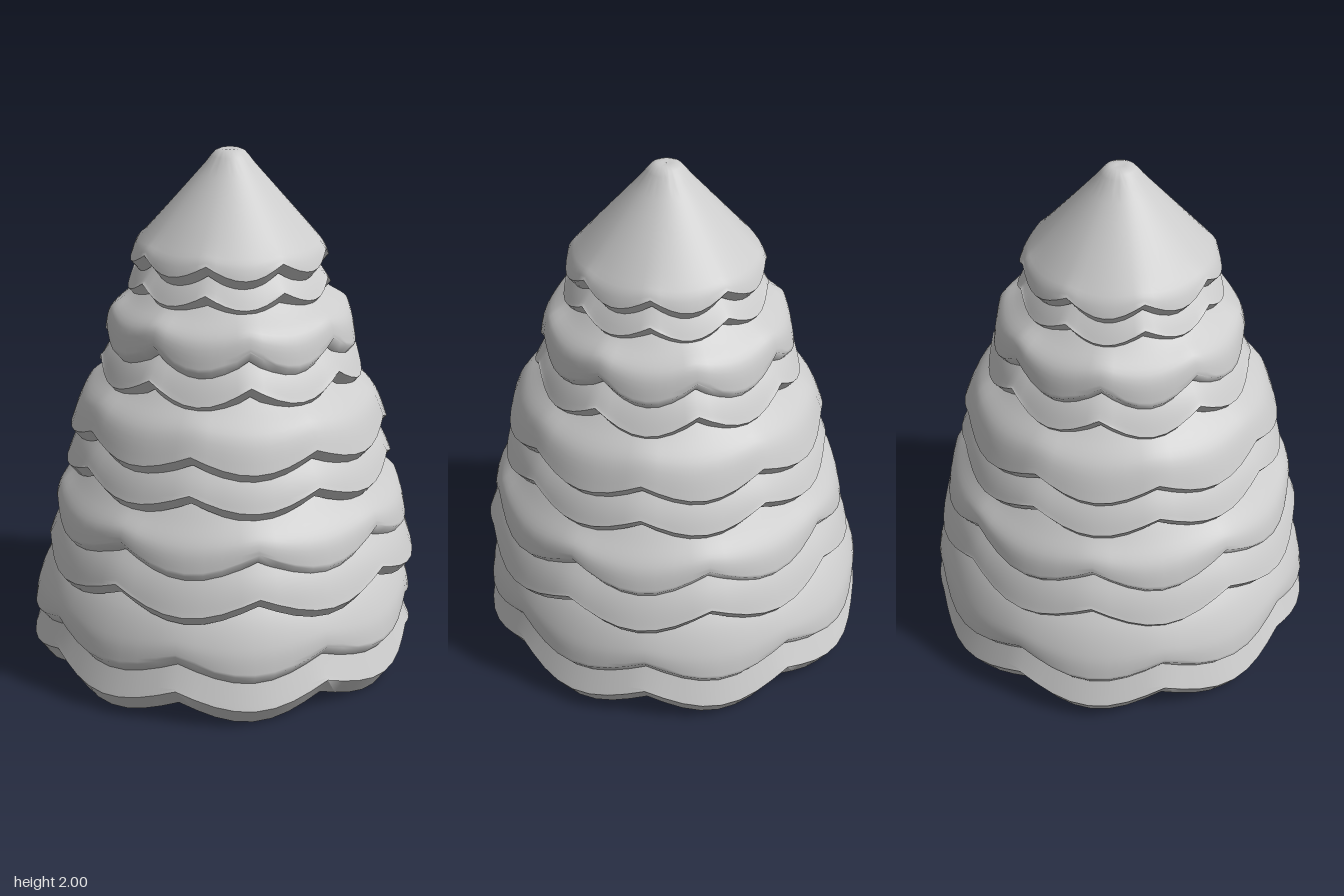
import * as THREE from 'three';
import { toCreasedNormals } from 'three/addons/utils/BufferGeometryUtils.js';

const LOBES = 8, SEGMENTS = 64, STEPS = 16;
const material = new THREE.MeshStandardMaterial({ color: 0xcccccc, side: THREE.DoubleSide });

// Outer profile of each skirt from its top to its rim, wave height, and whether
// a notch (instead of a lobe) faces the front.
const TIERS = [
  { profile: [[0.001, 2], [0.05, 1.998], [0.1, 1.94], [0.21, 1.815], [0.315, 1.695], [0.355, 1.645], [0.375, 1.595]], wave: 0.05, ease: 5 },
  { profile: [[0.2, 1.74], [0.335, 1.57], [0.386, 1.49]], wave: 0.05 },
  { profile: [[0.26, 1.57], [0.37, 1.47], [0.455, 1.39], [0.482, 1.285]], wave: 0.075, notched: true },
  { profile: [[0.32, 1.42], [0.45, 1.27], [0.508, 1.165]], wave: 0.07, notched: true },
  { profile: [[0.38, 1.25], [0.475, 1.16], [0.565, 1.07], [0.615, 0.95]], wave: 0.06 },
  { profile: [[0.43, 1.11], [0.58, 0.92], [0.635, 0.81]], wave: 0.06 },
  { profile: [[0.51, 0.88], [0.6, 0.77], [0.67, 0.68], [0.695, 0.59]], wave: 0.08, notched: true },
  { profile: [[0.52, 0.77], [0.67, 0.57], [0.728, 0.44]], wave: 0.07, notched: true },
  { profile: [[0.59, 0.52], [0.68, 0.41], [0.735, 0.3], [0.755, 0.21]], wave: 0.065, centred: true },
  { profile: [[0.55, 0.5], [0.64, 0.36], [0.708, 0.2], [0.762, 0.075]], wave: 0.065, centred: true, rim: 0.07, inset: 0.05 },
];

// Hollow skirt: outer wall, bevelled underside and inner wall, with a scalloped rim.
function skirtGeometry({ profile, wave, notched, ease = 2, rim = 0.042, inset = 0.035 }) {
  const turn = notched ? Math.PI / LOBES : 0;
  const curve = new THREE.SplineCurve(profile.map(([r, y]) => new THREE.Vector2(r, y)));
  const outer = curve.getPoints(STEPS).map((p, i) => ({ r: p.x, y: p.y, w: (i / STEPS) ** ease }));
  const end = outer[STEPS];
  const lip = { r: end.r - inset, y: end.y - rim, w: 1 };
  const inner = outer.map((p) => ({ r: Math.max(0.001, p.r - inset - 0.025), y: p.y - 0.02, w: p.w })).reverse();
  const rows = [...outer, lip, ...inner];

  const positions = [], index = [];
  for (const { r, y, w } of rows) {
    for (let j = 0; j < SEGMENTS; j++) {
      const a = (j / SEGMENTS) * Math.PI * 2;
      // 0 in the middle of a lobe, 1 at the sharp notch between two lobes
      const notch = 1 - Math.abs(Math.cos((LOBES / 2) * (a - turn)));
      // rounded octagonal plan with its corners on the lobes
      const plan = (1 - Math.cos(LOBES * (a - turn))) / 2;
      const radius = r * (1 - 0.025 * plan * w);
      positions.push(radius * Math.sin(a), y + wave * notch * w, radius * Math.cos(a));
    }
  }
  for (let i = 0; i < rows.length; i++) {
    const next = (i + 1) % rows.length;
    for (let j = 0; j < SEGMENTS; j++) {
      const k = (j + 1) % SEGMENTS;
      const a = i * SEGMENTS + j, b = next * SEGMENTS + j;
      const c = next * SEGMENTS + k, d = i * SEGMENTS + k;
      index.push(a, b, c, a, c, d);
    }
  }
  const geometry = new THREE.BufferGeometry();
  geometry.setAttribute('position', new THREE.Float32BufferAttribute(positions, 3));
  geometry.setIndex(index);
  return toCreasedNormals(geometry, 1.0);
}

export function createModel() {
  const tree = new THREE.Group();
  tree.name = 'coniferFoliage';
  TIERS.forEach((tier, i) => {
    const mesh = new THREE.Mesh(skirtGeometry(tier), material);
    mesh.name = i === 0 ? 'treeTop' : `branchSkirt${i}`;
    // the upper skirts sit slightly forward of the lowest pair
    mesh.position.z = tier.centred ? 0 : 0.03;
    tree.add(mesh);
  });
  return tree;
}
